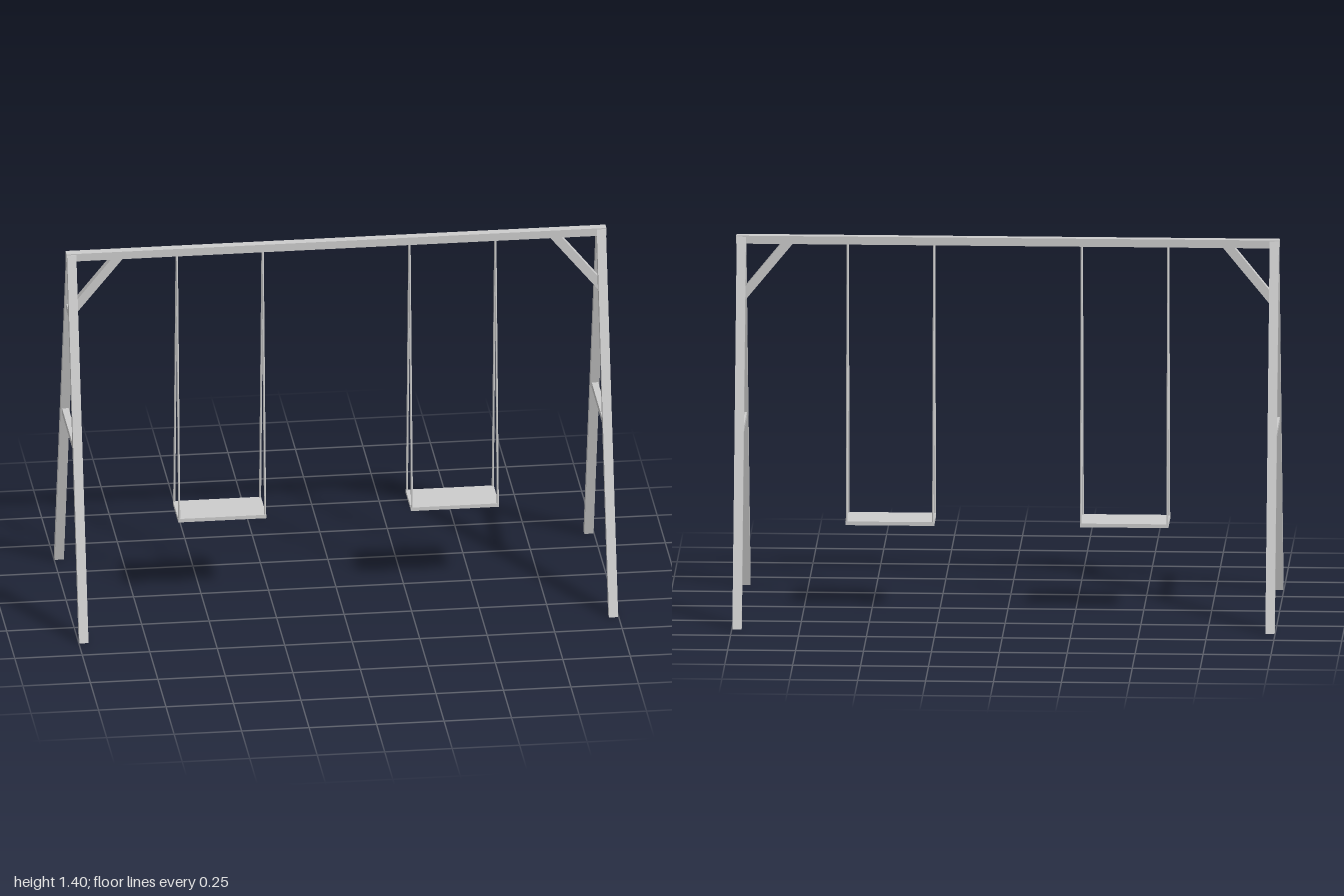
import * as THREE from 'three';

const material = new THREE.MeshStandardMaterial({ color: 0xcccccc, flatShading: true });

function add(parent, name, geometry, x = 0, y = 0, z = 0) {
  const mesh = new THREE.Mesh(geometry, material);
  mesh.name = name;
  mesh.position.set(x, y, z);
  parent.add(mesh);
  return mesh;
}

// Flat outline extruded to a plank, centred on its thickness
function plank(points, thickness) {
  const shape = new THREE.Shape(points.map(([x, y]) => new THREE.Vector2(x, y)));
  const geometry = new THREE.ExtrudeGeometry(shape, { depth: thickness, bevelEnabled: false });
  return geometry.translate(0, 0, -thickness / 2);
}

// Thin rope between two points
function rope(parent, a, b) {
  const direction = b.clone().sub(a);
  const mesh = add(parent, 'rope', new THREE.CylinderGeometry(0.004, 0.004, direction.length(), 8));
  mesh.position.copy(a).add(b).multiplyScalar(0.5);
  mesh.quaternion.setFromUnitVectors(new THREE.Vector3(0, 1, 0), direction.normalize());
}

function createEndFrame(side) {
  const frame = new THREE.Group();
  frame.name = side > 0 ? 'leftFrame' : 'rightFrame';
  const x = side * 0.981;

  // Splayed legs, cut level at the ground and meeting under the beam
  const outline = [[0.395, 0], [0.018, 1.395], [0, 1.395], [0, 1.36], [0.365, 0]];
  for (const s of [1, -1]) {
    const leg = add(frame, s > 0 ? 'frontLeg' : 'backLeg', plank(outline, 0.034), x);
    leg.rotation.y = -s * Math.PI / 2;
  }

  // Cross bars between the legs
  add(frame, 'lowerCrossBar', new THREE.BoxGeometry(0.024, 0.022, 0.38), x, 0.681, 0);
  add(frame, 'upperCrossBar', new THREE.BoxGeometry(0.024, 0.024, 0.12), x, 1.158, 0);

  // Diagonal brace from the upper cross bar to the beam
  const brace = [[0.97, 1.152], [0.97, 1.203], [0.833, 1.372], [0.79, 1.372]];
  add(frame, 'brace', plank(brace.map(([px, py]) => [side * px, py]), 0.03));
  return frame;
}

function createSwing(x) {
  const swing = new THREE.Group();
  swing.name = x > 0 ? 'leftSwing' : 'rightSwing';
  add(swing, 'seat', new THREE.BoxGeometry(0.326, 0.014, 0.164), 0, 0.334, 0);
  for (const sx of [-0.159, 0.159]) {
    for (const sz of [-1, 1]) {
      rope(swing, new THREE.Vector3(sx, 0.334, sz * 0.078), new THREE.Vector3(sx, 1.375, sz * 0.004));
    }
  }
  swing.position.x = x;
  return swing;
}

export function createModel() {
  const model = new THREE.Group();
  model.name = 'swingSet';
  add(model, 'topBeam', new THREE.BoxGeometry(2, 0.03, 0.032), 0, 1.384, 0);
  for (const side of [-1, 1]) {
    model.add(createEndFrame(side), createSwing(side * 0.431));
  }
  return model;
}
